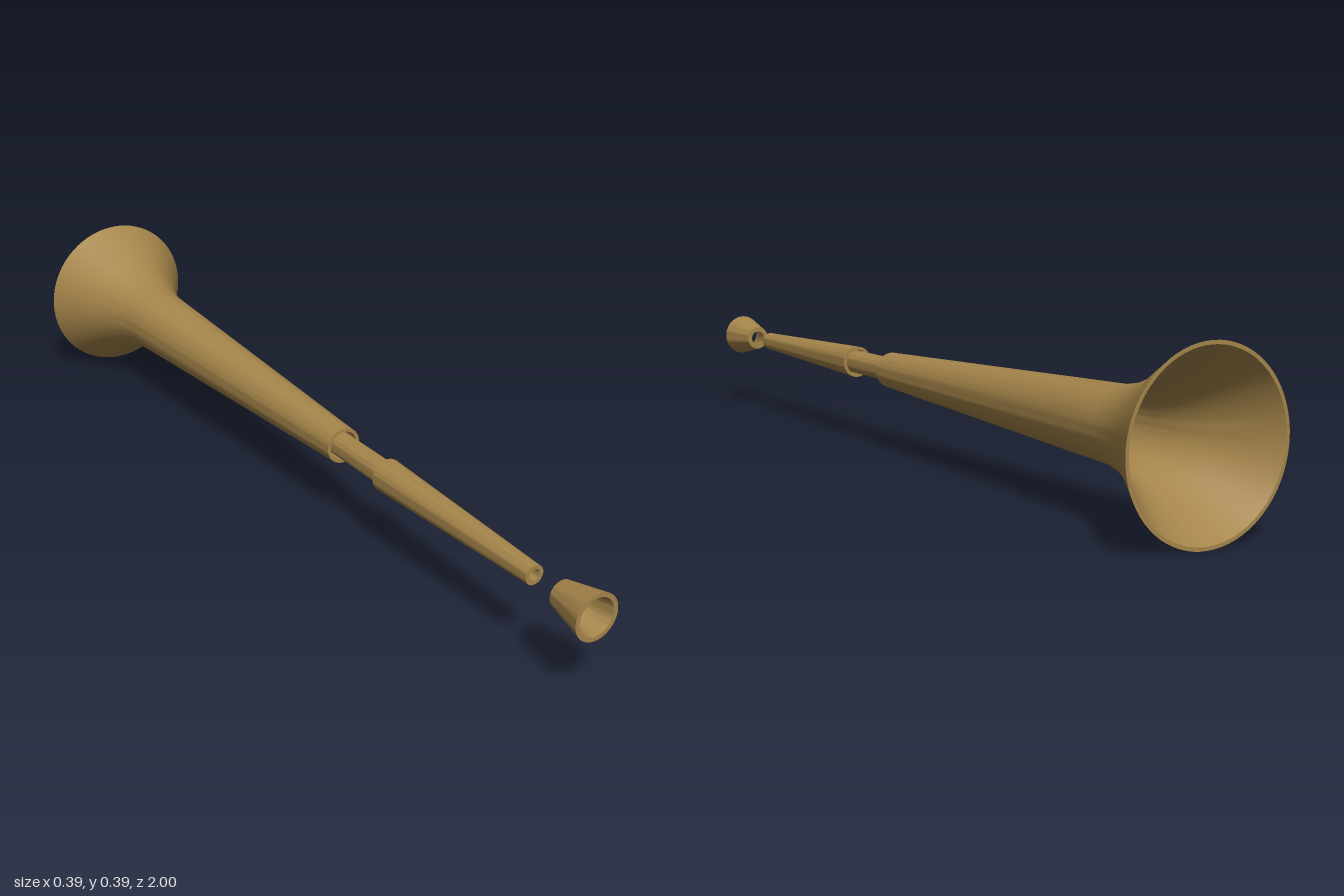
import * as THREE from 'three';
import { toCreasedNormals } from 'three/addons/utils/BufferGeometryUtils.js';

const AXIS_HEIGHT = 0.193;

// Hollow tube along z: outer and inner walls are lists of [radius, z] from back to front
function tube(name, outer, inner, material) {
  const loop = [...outer, ...[...inner].reverse(), outer[0]];
  const points = loop.map(([r, z]) => new THREE.Vector2(r, z));
  const geometry = toCreasedNormals(new THREE.LatheGeometry(points, 72), 0.5);
  geometry.rotateX(Math.PI / 2);
  const mesh = new THREE.Mesh(geometry, material);
  mesh.name = name;
  return mesh;
}

export function createModel() {
  const brass = new THREE.MeshStandardMaterial({ color: 0xa5854a });
  brass.name = 'brass';

  const horn = new THREE.Group();
  horn.name = 'horn';
  horn.position.y = AXIS_HEIGHT;

  // Flared bell and its long tapering body
  const bell = [[0.193, -1], [0.121, -0.88], [0.093, -0.81], [0.081, -0.75], [0.042, 0.15]];
  const bellInside = bell.map(([r, z]) => [r - 0.008, z]);
  horn.add(tube('bell', bell, bellInside, brass));

  // Slim neck sliding into the tubes at both ends
  horn.add(tube('neck', [[0.028, 0.06], [0.028, 0.4]], [[0.02, 0.06], [0.02, 0.4]], brass));

  // Tapered front pipe
  horn.add(tube('frontPipe', [[0.038, 0.32], [0.022, 0.82]], [[0.03, 0.32], [0.013, 0.82]], brass));

  // Detached cup mouthpiece
  horn.add(tube('mouthpiece', [[0.03, 0.9], [0.052, 1]], [[0.018, 0.9], [0.042, 1]], brass));

  const model = new THREE.Group();
  model.name = 'model';
  model.add(horn);
  return model;
}
